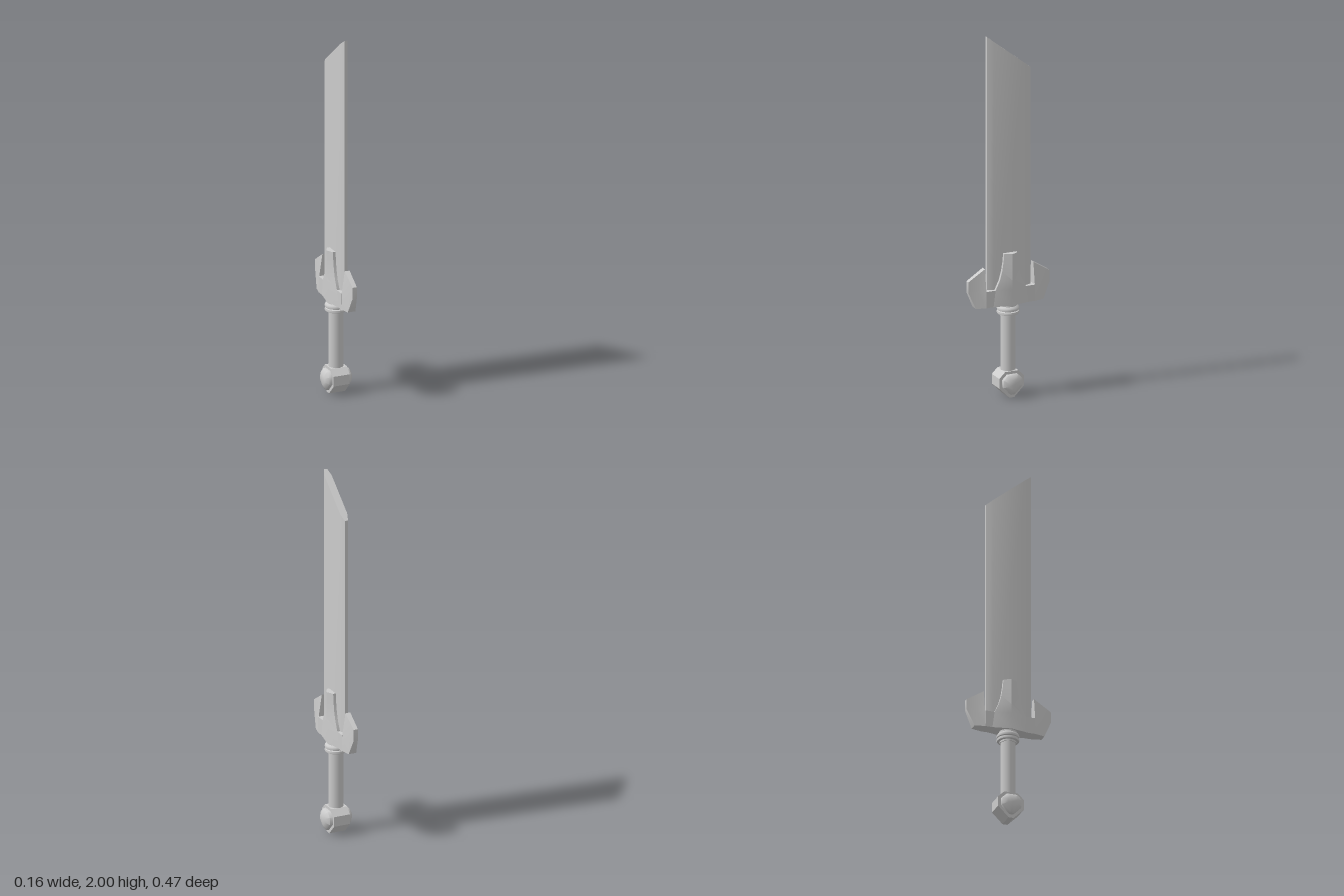
import * as THREE from 'three';
import { toCreasedNormals } from 'three/addons/utils/BufferGeometryUtils.js';

const material = new THREE.MeshStandardMaterial({ color: 0xcccccc });

// Closed solid skinned over rings of [x, y, z] points, capped at both ends
function loft(rings, crease = 0.6) {
  const n = rings[0].length;
  const pts = rings.flat().map((p) => new THREE.Vector3(...p));
  const tris = [];
  for (let r = 0; r < rings.length - 1; r++) {
    for (let i = 0; i < n; i++) {
      const a = r * n + i, b = r * n + ((i + 1) % n);
      tris.push([a, b, b + n], [a, b + n, a + n]);
    }
  }
  for (const [start, flip] of [[0, true], [(rings.length - 1) * n, false]]) {
    const c = new THREE.Vector3();
    for (let i = 0; i < n; i++) c.addScaledVector(pts[start + i], 1 / n);
    const ci = pts.push(c) - 1;
    for (let i = 0; i < n; i++) {
      const a = start + i, b = start + ((i + 1) % n);
      tris.push(flip ? [b, a, ci] : [a, b, ci]);
    }
  }
  // Turn the faces outward if the enclosed volume is negative
  let volume = 0;
  const cross = new THREE.Vector3();
  for (const [a, b, c] of tris) volume += pts[a].dot(cross.crossVectors(pts[b], pts[c]));
  const index = tris.flatMap(([a, b, c]) => (volume < 0 ? [a, c, b] : [a, b, c]));
  const g = new THREE.BufferGeometry().setFromPoints(pts);
  g.setIndex(index);
  return toCreasedNormals(g.toNonIndexed(), crease);
}

export function createModel() {
  const model = new THREE.Group();
  const add = (name, geometry, parent = model) => {
    const mesh = new THREE.Mesh(geometry, material);
    mesh.name = name;
    parent.add(mesh);
    return mesh;
  };

  // Blade: bevelled flat bar with a slanted end
  const section = [
    [0.009, 0.125], [0.02, 0.092], [0.02, -0.092], [0.009, -0.125],
    [-0.009, -0.125], [-0.02, -0.092], [-0.02, 0.092], [-0.009, 0.125],
  ];
  add('blade', loft([
    section.map(([x, z]) => [x, 0.56, z]),
    section.map(([x, z]) => [x, 1.9 + z * 0.8, z]),
  ]));

  // Guard: crossbar, ridged centre and two upturned prongs
  const guard = new THREE.Group();
  guard.name = 'guard';
  model.add(guard);
  add('crossbar', new THREE.BoxGeometry(0.07, 0.09, 0.28), guard).position.y = 0.555;
  const levels = [[0.51, 0.1], [0.6, 0.088], [0.65, 0.064], [0.7, 0.05], [0.75, 0.042], [0.795, 0.038]];
  add('guardCentre', loft(levels.map(([y, z]) => [
    [0.055, y, 0], [0.035, y, z], [-0.035, y, z],
    [-0.055, y, 0], [-0.035, y, -z], [0.035, y, -z],
  ])), guard);
  // Prong outline: z, y and half thickness
  const prong = [
    [0.14, 0.51, 0.035], [0.195, 0.51, 0.022], [0.235, 0.6, 0.012],
    [0.235, 0.66, 0.012], [0.14, 0.72, 0.014], [0.14, 0.6, 0.032],
  ];
  for (const [name, s] of [['frontProng', 1], ['backProng', -1]]) {
    add(name, loft([-1, 1].map((k) => prong.map(([z, y, x]) => [k * x, y, s * z]))), guard);
  }

  // Collar rings under the guard
  const collar = [
    [0, 0.445], [0.044, 0.445], [0.044, 0.455], [0.058, 0.456], [0.06, 0.463], [0.058, 0.47],
    [0.05, 0.473], [0.058, 0.476], [0.06, 0.484], [0.057, 0.493], [0.047, 0.5], [0.047, 0.515], [0, 0.515],
  ].map(([r, y]) => new THREE.Vector2(r, y));
  add('collar', toCreasedNormals(new THREE.LatheGeometry(collar, 24).toNonIndexed(), 0.7));

  // Grip
  add('grip', new THREE.CylinderGeometry(0.04, 0.04, 0.34, 16)).position.y = 0.295;

  // Pommel: pointed block with a stepped boss on either side
  const outline = [
    [0.038, 0.145], [0.072, 0.112], [0.072, 0.058], [0.014, 0.003],
    [-0.014, 0.003], [-0.072, 0.058], [-0.072, 0.112], [-0.038, 0.145],
  ];
  outline.forEach((p) => { p[1] = Math.max(0, p[1] - (p[1] < 0.01 ? 0.003 : 0)); });
  const ring = (x, k) => outline.map(([z, y]) => [x, 0.08 + (y - 0.08) * k, z * k]);
  const pommel = new THREE.Group();
  pommel.name = 'pommel';
  model.add(pommel);
  add('pommelBlock', loft([ring(-0.046, 1), ring(0.046, 1)]), pommel);
  for (const [name, s] of [['leftBoss', 1], ['rightBoss', -1]]) {
    add(name, loft([ring(s * 0.04, 0.78), ring(s * 0.062, 0.74), ring(s * 0.078, 0.4)], 0.9), pommel);
  }
  return model;
}
